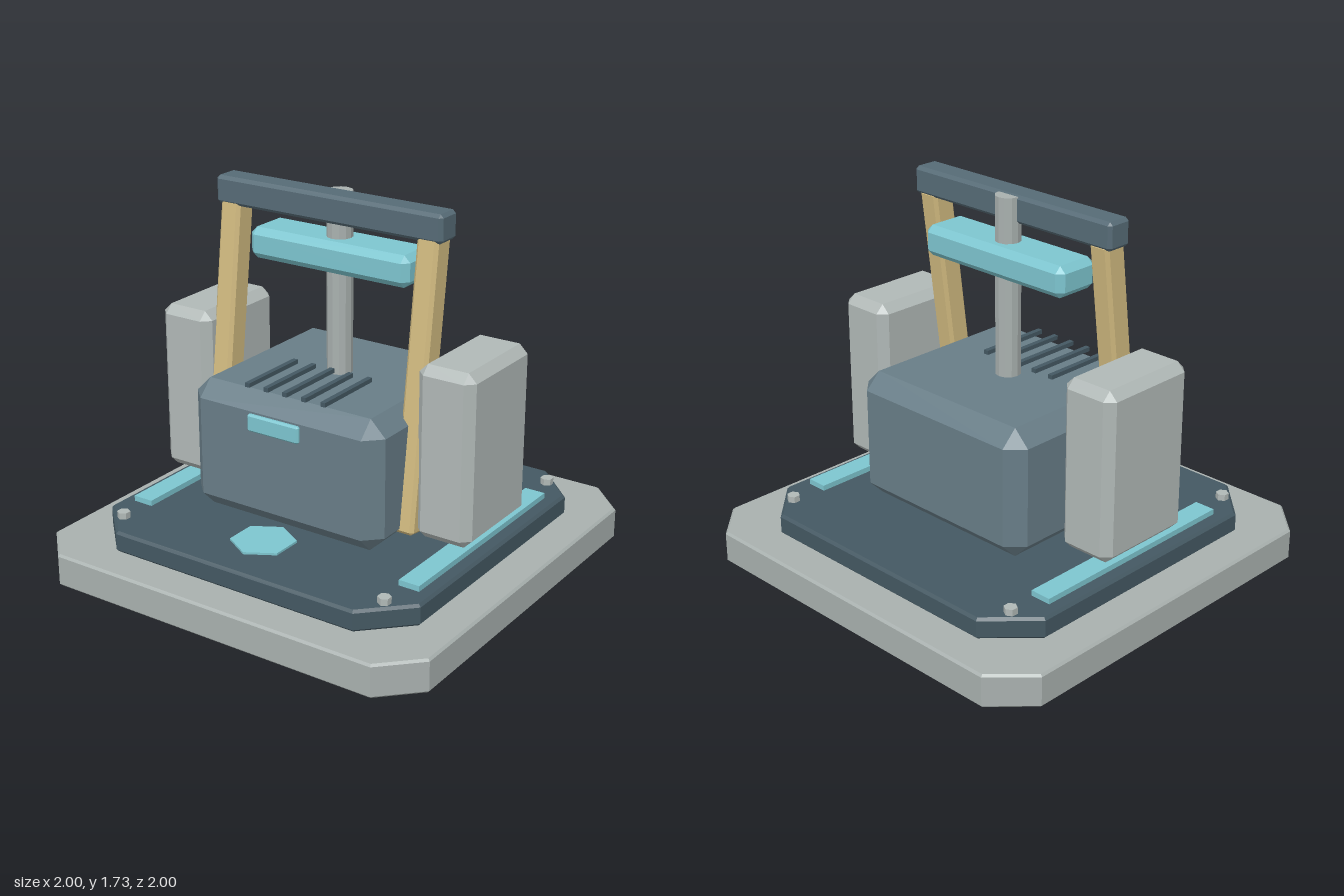
import * as THREE from 'three';
import { ConvexGeometry } from 'three/addons/geometries/ConvexGeometry.js';

const paint = (name, color) => {
  const m = new THREE.MeshStandardMaterial({ color, flatShading: true });
  m.name = name;
  return m;
};

// Box with every edge cut flat and triangular corner facets
function chamferBox(w, h, d, c) {
  const pts = [];
  for (const x of [-1, 1]) for (const y of [-1, 1]) for (const z of [-1, 1]) {
    const [a, b, e] = [w / 2, h / 2, d / 2];
    pts.push(
      new THREE.Vector3(x * a, y * (b - c), z * (e - c)),
      new THREE.Vector3(x * (a - c), y * b, z * (e - c)),
      new THREE.Vector3(x * (a - c), y * (b - c), z * e));
  }
  return new ConvexGeometry(pts);
}

// Square slab with cut corners and a thin bevel, standing on y = 0
function cutSlab(half, cut, height, bevel) {
  const k = half - cut;
  const shape = new THREE.Shape([
    [half, -k], [half, k], [k, half], [-k, half],
    [-half, k], [-half, -k], [-k, -half], [k, -half],
  ].map(([x, y]) => new THREE.Vector2(x, y)));
  const g = new THREE.ExtrudeGeometry(shape, {
    depth: height - 2 * bevel, bevelEnabled: true, bevelSegments: 1,
    bevelSize: bevel, bevelThickness: bevel, bevelOffset: -bevel,
  });
  return g.translate(0, 0, bevel).rotateX(-Math.PI / 2);
}

export function createModel() {
  const model = new THREE.Group();
  model.name = 'machine';

  const stone = paint('stone grey', 0xa8b0ae);
  const shell = paint('shell grey', 0xb0b8b6);
  const slate = paint('slate blue', 0x687d87);
  const steel = paint('steel blue', 0x566b76);
  const dark = paint('dark blue', 0x445862);
  const cyan = paint('pale cyan', 0x7dc5cf);
  const tan = paint('tan', 0xd0b97f);

  const add = (name, geometry, material, x = 0, y = 0, z = 0) => {
    const mesh = new THREE.Mesh(geometry, material);
    mesh.name = name;
    mesh.position.set(x, y, z);
    model.add(mesh);
    return mesh;
  };

  // Stepped foundation
  add('base', cutSlab(1, 0.17, 0.155, 0.01), stone);
  add('deck', cutSlab(0.832, 0.2, 0.1, 0.012), dark, 0, 0.155, 0);

  // Main housing, its vents and front lamp
  add('housing', chamferBox(1, 0.61, 0.935, 0.075), slate, 0, 0.59, 0);
  for (let i = -2; i <= 2; i++) {
    add('vent', new THREE.BoxGeometry(0.024, 0.02, 0.36), dark, i * 0.1, 0.915, 0.24);
  }
  add('frontLamp', chamferBox(0.27, 0.08, 0.025, 0.008), cyan, 0, 0.787, 0.502);
  add('deckMarker', new THREE.CylinderGeometry(0.146, 0.146, 0.01, 6), cyan, 0, 0.29, 0.585);

  // Parts mirrored on both sides
  for (const s of [-1, 1]) {
    const side = s > 0 ? 'left' : 'right';
    add(side + 'Pod', chamferBox(0.275, 0.795, 0.51, 0.04), shell, s * 0.688, 0.723, 0);
    add(side + 'Strip', new THREE.BoxGeometry(0.1, 0.026, 1.09), cyan, s * 0.72, 0.27, 0);
    const post = add(side + 'Post', chamferBox(0.105, 1.31, 0.115, 0.015), tan, s * 0.512, 0.98, 0.139);
    post.rotation.x = -0.125;
    for (const z of [-0.7, 0.7]) {
      add(side + 'Bolt', new THREE.CylinderGeometry(0.03, 0.03, 0.03, 6), shell, s * 0.7, 0.27, z);
    }
  }

  // Overhead frame, mast and glowing bar
  add('crossbar', chamferBox(1.17, 0.127, 0.127, 0.015), steel, 0, 1.668, 0.058);
  add('mast', new THREE.CylinderGeometry(0.059, 0.059, 0.86, 12), stone, 0, 1.295, 0);
  add('lightBar', chamferBox(0.83, 0.143, 0.23, 0.03), cyan, 0, 1.448, 0);

  return model;
}
